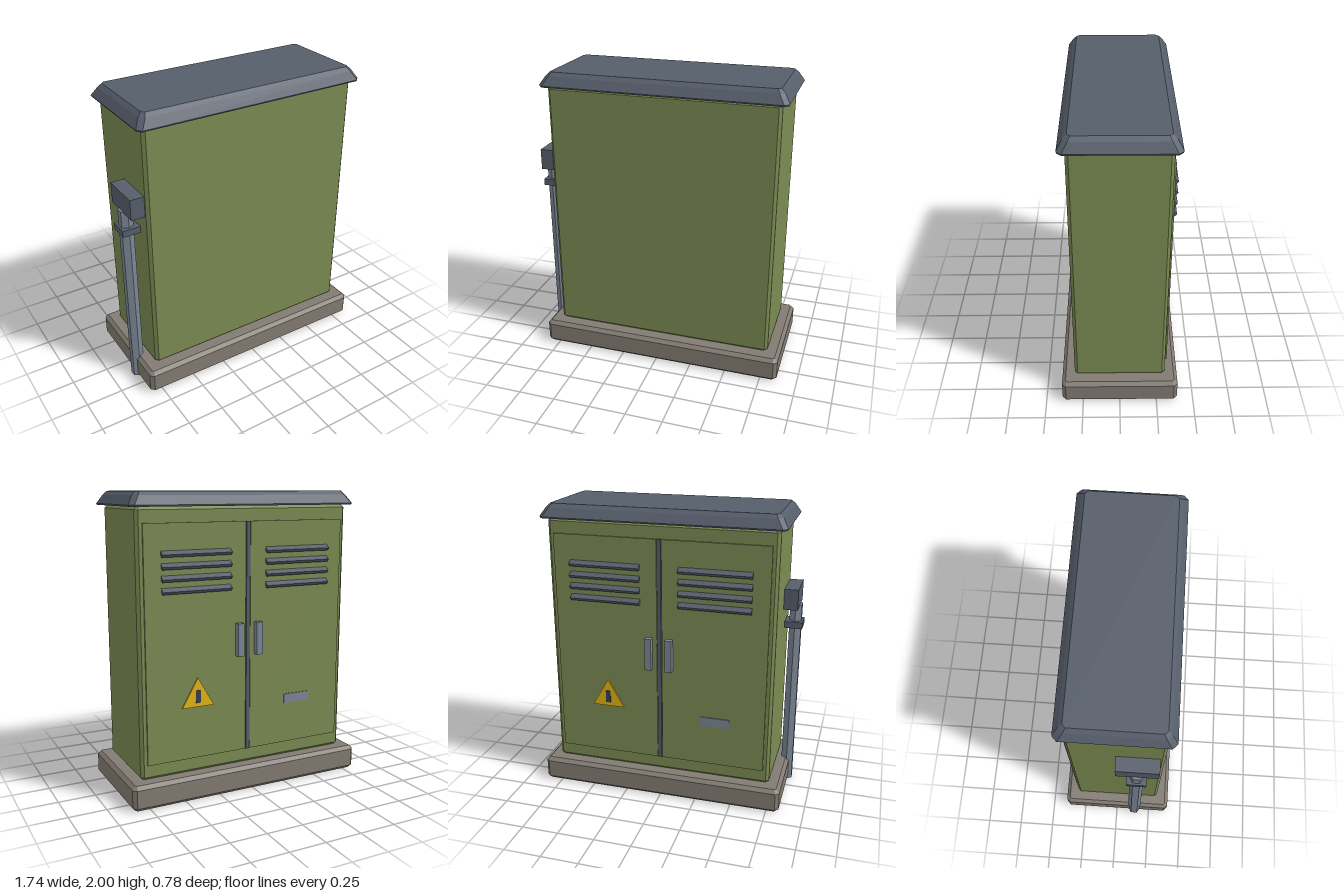
import * as THREE from 'three';

const mat = (name, color, flat = true) => {
  const m = new THREE.MeshStandardMaterial({ color, flatShading: flat });
  m.name = name;
  return m;
};

// Loft through octagonal rings (rectangles with cut corners): [y, halfWidth, halfDepth, corner]
function loft(rings) {
  const pos = [];
  const loops = rings.map(([y, w, d, c]) => [
    [w, y, d - c], [w, y, c - d], [w - c, y, -d], [c - w, y, -d],
    [-w, y, c - d], [-w, y, d - c], [c - w, y, d], [w - c, y, d],
  ]);
  const tri = (a, b, c) => pos.push(...a, ...b, ...c);
  for (let r = 0; r < loops.length - 1; r++) {
    const lo = loops[r], hi = loops[r + 1];
    for (let i = 0; i < 8; i++) {
      const j = (i + 1) % 8;
      tri(lo[i], lo[j], hi[j]);
      tri(lo[i], hi[j], hi[i]);
    }
  }
  const first = loops[0], last = loops[loops.length - 1];
  for (let i = 1; i < 7; i++) {
    tri(first[0], first[i + 1], first[i]);
    tri(last[0], last[i], last[i + 1]);
  }
  const g = new THREE.BufferGeometry();
  g.setAttribute('position', new THREE.Float32BufferAttribute(pos, 3));
  g.computeVertexNormals();
  return g;
}

// Block with every edge chamfered, from y0 to y1
const chamferBlock = (w, d, y0, y1, c) => loft([
  [y0, w - c, d - c, c * 0.4], [y0 + c, w, d, c], [y1 - c, w, d, c], [y1, w - c, d - c, c * 0.4],
]);

export function createModel() {
  const model = new THREE.Group();
  model.name = 'utilityCabinet';
  const green = mat('greenPaint', 0x7b8a52);
  const concrete = mat('concrete', 0x827b72);
  const slate = mat('slateMetal', 0x565e6b);
  const steel = mat('lightSteel', 0x7b8695);
  const yellow = mat('warningYellow', 0xe0b414);
  const dark = mat('darkMark', 0x3a3f48);

  const add = (name, geo, material, x = 0, y = 0, z = 0) => {
    const m = new THREE.Mesh(geo, material);
    m.name = name;
    m.position.set(x, y, z);
    model.add(m);
    return m;
  };
  const box = (name, material, w, h, d, x, y, z) =>
    add(name, new THREE.BoxGeometry(w, h, d), material, x, y, z);

  const cx = 0.015; // cabinet centre line

  // Plinth, body and roof
  add('plinth', chamferBlock(0.85, 0.39, 0, 0.17, 0.024), concrete, cx);
  add('body', chamferBlock(0.765, 0.305, 0.168, 1.91, 0.02), green, cx);
  add('roof', loft([
    [1.908, 0.805, 0.345, 0.025], [1.918, 0.81, 0.35, 0.03],
    [1.975, 0.775, 0.315, 0.03], [2, 0.75, 0.29, 0.02],
  ]), slate, cx);

  // Double doors on the back with louvres and handles
  for (const side of [1, -1]) {
    const s = side > 0 ? 'left' : 'right';
    box(s + 'Door', green, 0.705, 1.54, 0.02, cx + side * 0.37, 1.04, -0.307);
    box(s + 'Handle', steel, 0.045, 0.22, 0.042, cx + side * 0.07, 1.04, -0.335);
    for (let i = 0; i < 4; i++) {
      const slat = box(s + 'Louvre', slate, 0.48, 0.022, 0.05, cx + side * 0.37, 1.625 - i * 0.077, -0.32);
      slat.rotation.x = -0.65;
    }
  }
  box('doorSeam', slate, 0.026, 1.54, 0.02, cx, 1.04, -0.311);

  // Warning triangle with a dark bar, and a blank plate
  const r = 0.13;
  const tri = new THREE.Shape([90, 210, 330].map((a) => new THREE.Vector2(
    r * Math.cos(a * Math.PI / 180), r * Math.sin(a * Math.PI / 180))));
  add('warningTriangle', new THREE.ExtrudeGeometry(tri, { depth: 0.009, bevelEnabled: false }),
    yellow, cx + 0.37, 0.685, -0.326);
  box('warningBar', dark, 0.034, 0.085, 0.006, cx + 0.37, 0.69, -0.328);
  box('labelPlate', steel, 0.2, 0.065, 0.008, cx - 0.385, 0.585, -0.319);

  // Cable conduit, clamp and junction box on the right side
  add('conduit', new THREE.CylinderGeometry(0.046, 0.046, 1.33, 6), steel, -0.82, 0.665, 0.135);
  box('conduitClamp', slate, 0.12, 0.045, 0.13, -0.813, 1.193, 0.135);
  box('junctionBox', slate, 0.095, 0.14, 0.275, -0.796, 1.39, 0.137);

  return model;
}
